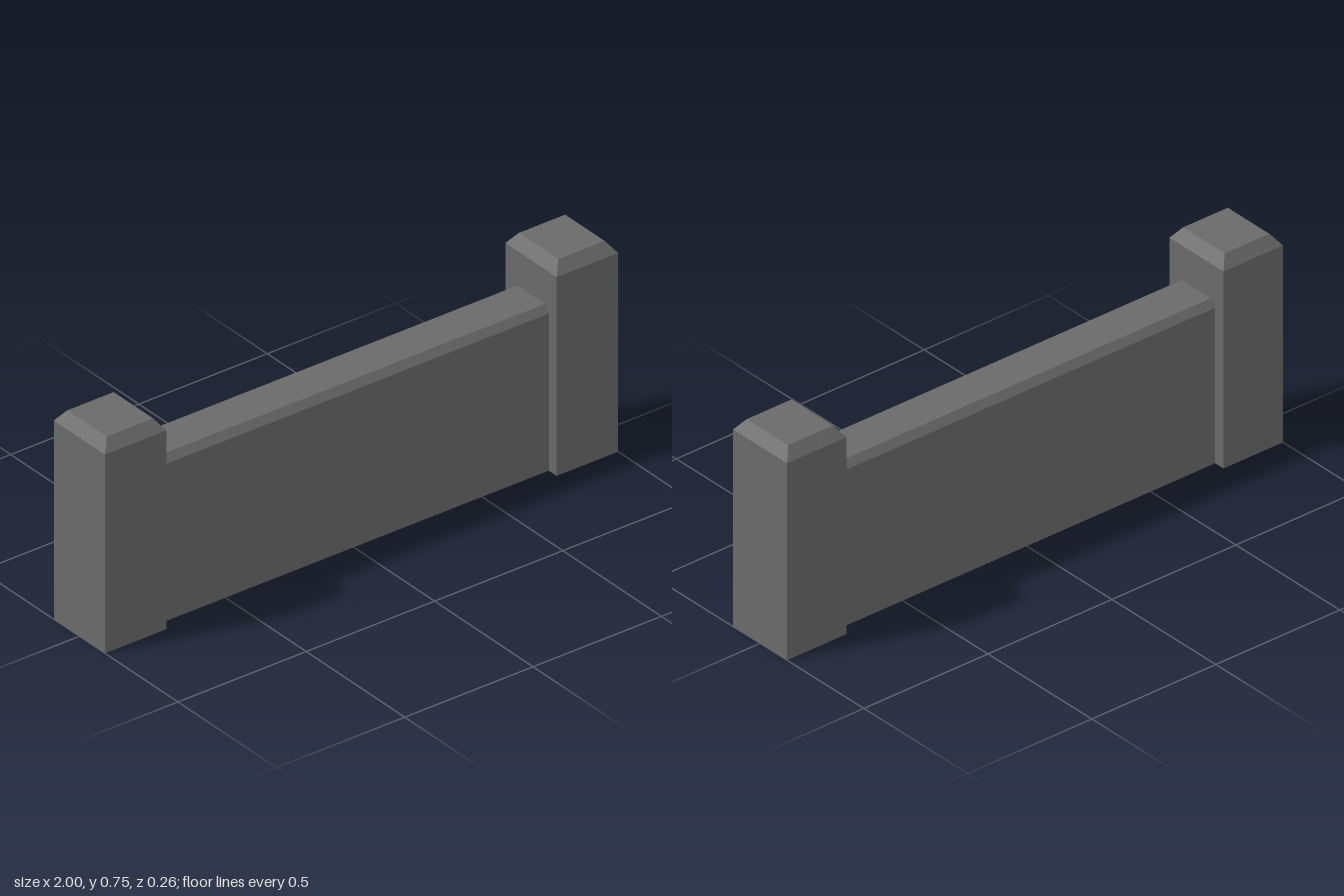
import * as THREE from 'three';

// Box standing on y = 0 whose top edges are chamfered from the shoulder height up
function chamferedBlock(width, height, depth, shoulder, insetX, insetZ) {
  const box = new THREE.BoxGeometry(width, height, depth, 1, 2, 1);
  const p = box.attributes.position;
  for (let i = 0; i < p.count; i++) {
    const y = p.getY(i);
    if (y > 0.01) {
      p.setXYZ(
        i,
        p.getX(i) - Math.sign(p.getX(i)) * insetX,
        height,
        p.getZ(i) - Math.sign(p.getZ(i)) * insetZ
      );
    } else {
      p.setY(i, y < -0.01 ? 0 : shoulder);
    }
  }
  // Separate faces keep every edge sharp
  const geometry = box.toNonIndexed();
  geometry.computeVertexNormals();
  return geometry;
}

export function createModel() {
  const model = new THREE.Group();
  model.name = 'lowWall';
  const stone = new THREE.MeshStandardMaterial({ color: 0x6a6a6a });
  stone.name = 'grey stone';

  // Wall panel with chamfered long edges
  const wall = new THREE.Mesh(chamferedBlock(1.52, 0.59, 0.18, 0.565, 0, 0.02), stone);
  wall.name = 'wallPanel';
  model.add(wall);

  // End pillars chamfered on all four sides
  const pillarGeometry = chamferedBlock(0.24, 0.755, 0.26, 0.715, 0.03, 0.03);
  for (const side of [-1, 1]) {
    const pillar = new THREE.Mesh(pillarGeometry, stone);
    pillar.name = side > 0 ? 'leftPillar' : 'rightPillar';
    pillar.position.x = side * 0.88;
    model.add(pillar);
  }

  return model;
}
